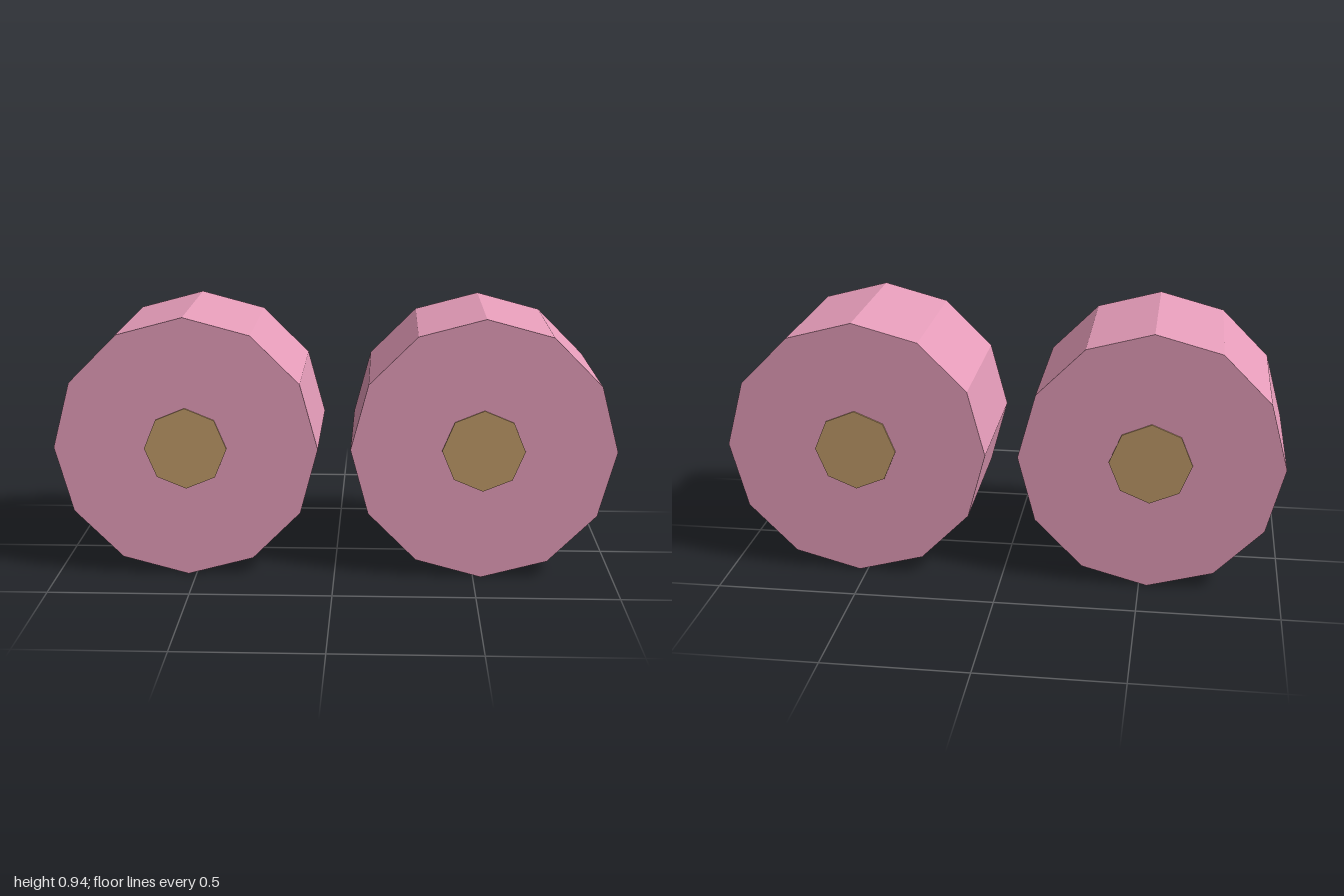
import * as THREE from 'three';

const pink = new THREE.MeshStandardMaterial({ color: 0xe59cb9, flatShading: true });
const tan = new THREE.MeshStandardMaterial({ color: 0xbf9a68, flatShading: true });

// Faceted cylinder whose axis runs front to back
function drum(name, radius, depth, sides, material) {
  const geometry = new THREE.CylinderGeometry(radius, radius, depth, sides);
  geometry.rotateX(Math.PI / 2);
  const mesh = new THREE.Mesh(geometry, material);
  mesh.name = name;
  return mesh;
}

export function createModel() {
  const model = new THREE.Group();
  model.name = 'wheelPair';

  for (const side of [-1, 1]) {
    const wheel = new THREE.Group();
    wheel.name = side > 0 ? 'leftWheel' : 'rightWheel';
    // Twelve-sided tread, with an eight-sided hub just proud of both faces
    wheel.add(drum('tread', 0.471, 0.588, 12, pink));
    wheel.add(drum('hub', 0.147, 0.6, 8, tan));
    wheel.position.set(side * 0.529, 0.471, 0);
    model.add(wheel);
  }
  return model;
}
